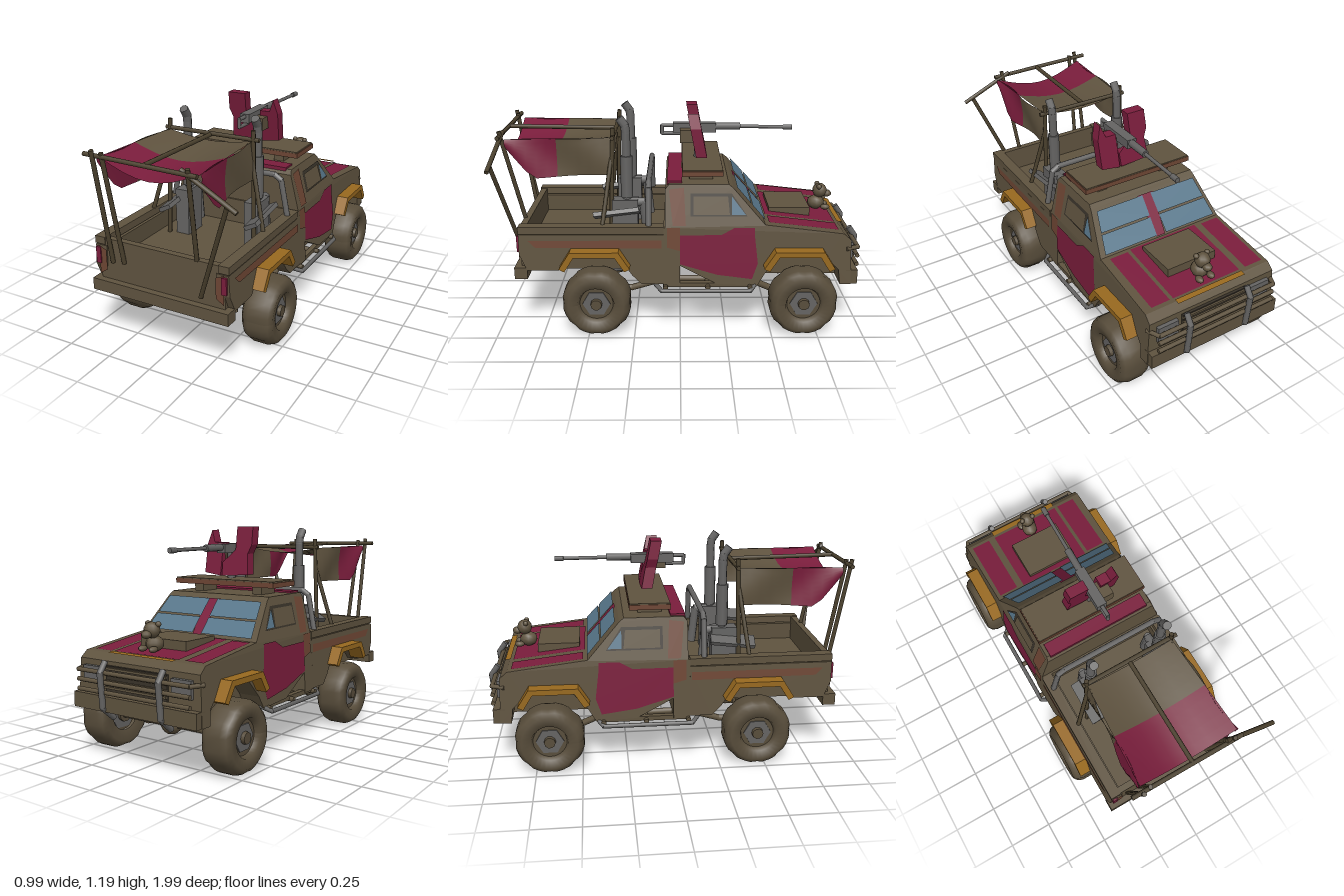
import * as THREE from 'three';

const mat = (name, color) => Object.assign(new THREE.MeshStandardMaterial({ color, side: THREE.DoubleSide }), { name });
const M = {
  olive: mat('olive drab', 0x5f533f), tyre: mat('dusty rubber', 0x584d3b), wood: mat('dark wood', 0x4b412e),
  crimson: mat('crimson', 0x7a1d3c), ochre: mat('ochre', 0x98691f), glass: mat('blue glass', 0x58778b),
  steel: mat('steel', 0x656463), rust: mat('rust', 0x6e4634), dark: mat('dark recess', 0x39332a),
};
const V = (p) => new THREE.Vector3(...p);

export function createModel() {
  const root = new THREE.Group();
  const add = (name, geo, m, parent = root) => {
    const mesh = new THREE.Mesh(geo, m);
    mesh.name = name;
    parent.add(mesh);
    return mesh;
  };
  const box = (name, m, x0, x1, y0, y1, z0, z1) => add(name,
    new THREE.BoxGeometry(x1 - x0, y1 - y0, z1 - z0).translate((x0 + x1) / 2, (y0 + y1) / 2, (z0 + z1) / 2), m);
  // chain of straight rods through points
  const rods = (name, m, r, ...pts) => {
    for (let i = 0; i + 1 < pts.length; i++) {
      const a = V(pts[i]), b = V(pts[i + 1]), d = b.clone().sub(a);
      const g = new THREE.CylinderGeometry(r, r, d.length() + r * 0.6, 8);
      g.applyQuaternion(new THREE.Quaternion().setFromUnitVectors(V([0, 1, 0]), d.normalize()));
      const c = a.add(b).multiplyScalar(0.5);
      add(name, g.translate(c.x, c.y, c.z), m);
    }
  };
  // flat painted panel from corner points
  const panel = (name, m, pts) => {
    const g = new THREE.BufferGeometry().setFromPoints(pts.map(V));
    const idx = [];
    for (let i = 1; i + 1 < pts.length; i++) idx.push(0, i, i + 1);
    g.setIndex(idx);
    g.computeVertexNormals();
    return add(name, g, m);
  };
  // side outline (z, y) extruded across x
  const slab = (pts, x0, x1) => new THREE.ExtrudeGeometry(new THREE.Shape(pts.map(p => new THREE.Vector2(...p))),
    { depth: x1 - x0, bevelEnabled: false }).rotateY(-Math.PI / 2).translate(x1, 0, 0);
  // body sides lean inwards
  const sideX = (y) => y < 0.6 ? 0.405 - (y - 0.27) * 0.06 : 0.385 - (y - 0.6) * 0.25;
  const lean = (g) => {
    const p = g.attributes.position;
    for (let i = 0; i < p.count; i++) p.setX(i, p.getX(i) * sideX(p.getY(i)) / 0.4);
    g.computeVertexNormals();
    return g;
  };
  const sidePanel = (name, m, pts, off = 0.004) => [1, -1].forEach(s =>
    panel(name, m, (s > 0 ? [...pts].reverse() : pts).map(([z, y]) => [s * (sideX(y) + off), y, z])));

  // --- body ---
  add('frontBody', lean(slab([[0.09, 0.6], [-0.45, 0.615], [-0.88, 0.565], [-0.92, 0.53], [-0.93, 0.28], [-0.87, 0.28],
    [-0.86, 0.36], [-0.79, 0.43], [-0.54, 0.43], [-0.46, 0.34], [-0.42, 0.27], [-0.2, 0.28], [0, 0.385], [0, 0.27], [0.09, 0.27]],
    -0.4, 0.4)), M.olive);
  add('cab', lean(slab([[0.08, 0.6], [0.08, 0.8], [0.06, 0.825], [-0.26, 0.825], [-0.285, 0.805], [-0.46, 0.61]], -0.4, 0.4)), M.olive);
  const bedSide = [[0.09, 0.56], [0.87, 0.56], [0.87, 0.45], [0.83, 0.36], [0.66, 0.36], [0.59, 0.43], [0.33, 0.43],
    [0.26, 0.33], [0.21, 0.28], [0.09, 0.28]];
  add('bedSide', lean(slab(bedSide, 0.33, 0.4)), M.olive);
  add('bedSide', lean(slab(bedSide, -0.4, -0.33)), M.olive);
  for (const s of [-1, 1]) {
    const r = box('bedRail', M.olive, -0.03, 0.03, 0.565, 0.605, 0.09, 0.87);
    r.position.x = s * 0.36;
  }
  box('bedFloor', M.olive, -0.36, 0.36, 0.42, 0.46, 0.08, 0.86);
  box('tailgate', M.olive, -0.365, 0.365, 0.37, 0.6, 0.83, 0.865);
  box('rearChassis', M.olive, -0.28, 0.28, 0.32, 0.43, 0.0, 0.84);
  box('frontChassis', M.olive, -0.28, 0.28, 0.29, 0.44, -0.9, -0.2);
  box('rearBumper', M.olive, -0.4, 0.4, 0.31, 0.375, 0.83, 0.9);
  box('frontBumper', M.olive, -0.4, 0.4, 0.28, 0.36, -0.965, -0.9);

  // --- side paint, windows, flares ---
  sidePanel('doorPaint', M.crimson, [[0, 0.56], [-0.4, 0.56], [-0.42, 0.4], [-0.39, 0.31], [-0.2, 0.335], [0, 0.395]]);
  sidePanel('doorPaintUpper', M.crimson, [[-0.29, 0.6], [-0.4, 0.6], [-0.4, 0.56], [-0.22, 0.56]]);
  sidePanel('doorRust', M.rust, [[0.07, 0.6], [0, 0.6], [0, 0.47], [0.07, 0.49]]);
  sidePanel('pillarRust', M.rust, [[0.06, 0.8], [-0.02, 0.81], [-0.03, 0.61], [0.04, 0.61]]);
  sidePanel('bedRust', M.rust, [[0.82, 0.53], [0.1, 0.53], [0.1, 0.485], [0.78, 0.49]]);
  sidePanel('windowFrame', M.dark, [[-0.055, 0.78], [-0.275, 0.78], [-0.36, 0.66], [-0.055, 0.66]]);
  sidePanel('sideWindow', M.olive, [[-0.07, 0.765], [-0.255, 0.765], [-0.265, 0.67], [-0.07, 0.67]], 0.008);
  sidePanel('ventWindow', M.glass, [[-0.275, 0.765], [-0.35, 0.67], [-0.275, 0.67]], 0.008);
  const flare = (z0, pts) => [1, -1].forEach(s => {
    const p = pts.map(([z, y]) => [z + z0, y]);
    add('wheelFlare', s > 0 ? slab(p, 0.37, 0.46) : slab(p, -0.46, -0.37), M.ochre);
  });
  const arch = [[0.19, 0.39], [0.13, 0.485], [-0.13, 0.485], [-0.19, 0.39], [-0.16, 0.375], [-0.11, 0.455], [0.11, 0.455], [0.16, 0.375]];
  flare(0.46, arch);
  flare(-0.64, arch);

  // --- windscreen and hood ---
  const ws = (x, t) => [x * (1 - 0.13 * t), 0.618 + t * 0.19, -0.463 + t * 0.17];
  panel('screenStrip', M.crimson, [ws(-0.025, 0.03), ws(0.03, 0.03), ws(0.06, 0.97), ws(-0.05, 0.97)]);
  for (const s of [-1, 1]) for (const [a, b] of [[0.05, 0.46], [0.5, 0.95]])
    panel('windscreen', M.glass, [ws(s * 0.03, a), ws(s * 0.355, a), ws(s * 0.355, b), ws(s * 0.03, b)])
      .position.set(0, 0.004, -0.005);
  const hoodY = (z) => 0.619 + (z + 0.45) * 0.116;
  const hoodPaint = (name, m, x0, x1, z0, z1) => panel(name, m,
    [[x0, hoodY(z0), z0], [x0, hoodY(z1), z1], [x1, hoodY(z1), z1], [x1, hoodY(z0), z0]]);
  hoodPaint('hoodPatch', M.crimson, -0.36, -0.25, -0.86, -0.48);
  hoodPaint('hoodPatch', M.crimson, 0.23, 0.34, -0.86, -0.48);
  hoodPaint('hoodCentre', M.crimson, -0.21, 0.21, -0.86, -0.47);
  hoodPaint('hoodStripe', M.ochre, -0.21, 0.21, -0.905, -0.875).position.y = 0.004;
  box('hoodScoop', M.olive, -0.15, 0.15, 0.58, 0.635, -0.73, -0.5);

  // --- nose ---
  box('grille', M.dark, -0.2, 0.2, 0.38, 0.51, -0.935, -0.92);
  for (let i = 0; i < 4; i++) box('grilleSlat', M.olive, -0.2, 0.2, 0.395 + i * 0.032, 0.407 + i * 0.032, -0.945, -0.93);
  for (const s of [-1, 1]) {
    box('headlight', M.steel, s * 0.29 - 0.06, s * 0.29 + 0.06, 0.41, 0.5, -0.942, -0.92);
    rods('bullBarUpright', M.steel, 0.016, [s * 0.19, 0.24, -0.9], [s * 0.19, 0.3, -0.97], [s * 0.19, 0.48, -0.985], [s * 0.19, 0.53, -0.95]);
    rods('bullBarEnd', M.olive, 0.012, [s * 0.39, 0.48, -0.9], [s * 0.36, 0.48, -0.965]);
    // tail lamps
    panel('tailRust', M.rust, [[s * 0.365, 0.56, 0.876], [s * 0.365, 0.4, 0.876], [s * 0.32, 0.43, 0.876], [s * 0.32, 0.54, 0.876]]);
    box('tailLamp', M.crimson, s * 0.367 - 0.014, s * 0.367 + 0.014, 0.46, 0.55, 0.86, 0.882);
  }
  for (const y of [0.38, 0.43, 0.48]) rods('bullBarRail', M.olive, 0.012, [-0.36, y, -0.965], [0.36, y, -0.965]);

  // --- carved beast on the hood ---
  const ball = (name, r, x, y, z, sx = 1, sy = 1, sz = 1) =>
    add(name, new THREE.SphereGeometry(r, 10, 7).scale(sx, sy, sz).translate(x, y, z), M.olive);
  ball('beastBody', 0.045, 0, 0.62, -0.79, 1, 0.9, 1.1);
  ball('beastHead', 0.042, 0, 0.69, -0.81);
  ball('beastMuzzle', 0.026, 0, 0.672, -0.85, 1, 0.8, 1.1);
  for (const s of [-1, 1]) {
    ball('beastEar', 0.015, s * 0.034, 0.72, -0.8);
    ball('beastPaw', 0.02, s * 0.035, 0.6, -0.84, 1, 0.8, 1.4);
  }

  // --- wheels: lathe with tread notched by rule ---
  const wheel = (x, z) => {
    const g = new THREE.Group();
    g.name = 'wheel';
    const prof = [[0.09, -0.07], [0.15, -0.088], [0.175, -0.07], [0.187, -0.04], [0.187, 0.04], [0.175, 0.07], [0.15, 0.088], [0.1, 0.08], [0.09, 0.05]];
    const tyre = new THREE.LatheGeometry(prof.map(p => new THREE.Vector2(...p)), 32);
    const p = tyre.attributes.position;
    for (let i = 0; i < p.count; i++) {
      const r = Math.hypot(p.getX(i), p.getZ(i));
      const k = r > 0.16 && Math.floor(i / prof.length) % 4 === 0 ? 0.965 : 1;
      p.setXYZ(i, p.getX(i) * k, p.getY(i), p.getZ(i) * k);
    }
    tyre.computeVertexNormals();
    add('tyre', tyre, M.tyre, g);
    add('rim', new THREE.CylinderGeometry(0.095, 0.095, 0.1, 16), M.tyre, g);
    add('rimFace', new THREE.CylinderGeometry(0.075, 0.09, 0.11, 6), M.steel, g);
    add('hub', new THREE.CylinderGeometry(0.03, 0.045, 0.15, 10), M.tyre, g);
    g.rotation.z = x > 0 ? -Math.PI / 2 : Math.PI / 2;
    g.position.set(x, 0.187, z);
    root.add(g);
  };

  // --- axles, underside and side steps ---
  for (const z of [0.455, -0.67]) {
    wheel(0.402, z);
    wheel(-0.402, z);
    rods('axle', M.olive, 0.024, [-0.36, 0.187, z], [0.36, 0.187, z]);
    ball('differential', 0.06, 0, 0.187, z);
    for (const s of [-1, 1]) {
      box('springMount', M.olive, s * 0.16 - 0.05, s * 0.16 + 0.05, 0.24, 0.32, z - 0.06, z + 0.06);
      rods('shockAbsorber', M.olive, 0.02, [s * 0.22, 0.15, z + 0.06], [s * 0.18, 0.32, z + 0.04]);
    }
  }
  rods('driveShaft', M.steel, 0.022, [0, 0.19, 0.45], [0, 0.26, 0], [0, 0.19, -0.67]);
  for (const z of [0.08, -0.15, -0.38]) rods('floorBar', M.olive, 0.014, [-0.42, 0.265, z], [0.42, 0.265, z]);
  for (const s of [-1, 1]) {
    rods('trailingArm', M.olive, 0.018, [s * 0.27, 0.19, 0.42], [s * 0.27, 0.2, 0.27], [s * 0.3, 0.27, 0.08],
      [s * 0.3, 0.265, -0.38], [s * 0.27, 0.2, -0.5], [s * 0.27, 0.19, -0.64]);
    rods('sideStep', M.steel, 0.012, [s * 0.38, 0.275, 0.14], [s * 0.43, 0.25, 0.1], [s * 0.43, 0.25, -0.38], [s * 0.38, 0.28, -0.42]);
    box('sill', M.olive, s * 0.385 - 0.015, s * 0.385 + 0.015, 0.26, 0.285, -0.41, 0.09);
  }

  // --- roll bar, exhaust stacks and scrap in the bed ---
  rods('rollBar', M.steel, 0.016, [-0.36, 0.6, 0.17], [-0.32, 0.8, 0.17], [-0.28, 0.825, 0.17], [0.28, 0.825, 0.17], [0.32, 0.8, 0.17], [0.36, 0.6, 0.17]);
  for (const x of [-0.185, 0.24]) {
    rods('stackMuffler', M.steel, 0.033, [x, 0.74, 0.29], [x, 0.95, 0.29]);
    rods('stackPipe', M.steel, 0.024, [x, 0.5, 0.29], [x, 1.09, 0.29], [x, 1.125, 0.295], [x, 1.16, 0.32]);
    rods('stackElbow', M.steel, 0.025, [x, 0.7, 0.29], [x, 0.7, 0.2], [x, 0.5, 0.18]);
    const plate = box('scrapPlate', M.steel, -0.04, 0.04, -0.012, 0.012, -0.13, 0.12);
    plate.position.set(x + Math.sign(x) * 0.05, 0.65, 0.35);
    plate.rotation.set(0.12, 0, 0.5);
    box('scrapBox', M.steel, x - 0.04, x + 0.04, 0.46, 0.72, 0.23, 0.37);
  }

  // --- roof platform ---
  box('roofMat', M.crimson, -0.31, 0.3, 0.815, 0.835, -0.01, 0.07);
  box('roofBoard', M.rust, -0.335, 0.33, 0.868, 0.895, -0.23, -0.01);
  box('roofBoardTop', M.olive, -0.33, 0.325, 0.895, 0.902, -0.228, -0.012);
  for (const x of [-0.2, 0.2]) box('boardBlock', M.olive, x - 0.03, x + 0.03, 0.82, 0.87, -0.18, -0.05);

  // --- gun and its shields ---
  const shield = (name, pts) => {
    const g = new THREE.ExtrudeGeometry(new THREE.Shape(pts.map(p => new THREE.Vector2(...p))), { depth: 0.06, bevelEnabled: false });
    const p = g.attributes.position;
    for (let i = 0; i < p.count; i++) p.setZ(i, p.getZ(i) - 0.15 + (p.getY(i) - 0.92) * 0.2);
    g.computeVertexNormals();
    add(name, g, M.crimson);
  };
  shield('shieldTall', [[-0.115, 0.925], [0.06, 0.915], [0.065, 0.99], [-0.015, 1.06], [-0.01, 1.19], [-0.115, 1.19], [-0.12, 1.09], [-0.1, 1.04]]);
  shield('shieldPointed', [[0.07, 0.915], [0.18, 0.93], [0.185, 1.09], [0.163, 1.17], [0.135, 1.1], [0.075, 1.1]]);
  rods('gunPost', M.steel, 0.022, [0.03, 0.89, -0.1], [0.03, 1.06, -0.1]);
  box('gunReceiver', M.steel, 0.0, 0.055, 1.045, 1.095, -0.2, 0.04);
  rods('gunGrip', M.steel, 0.011, [0.028, 1.08, 0.02], [0.028, 1.08, 0.1], [0.028, 1.035, 0.1], [0.028, 1.035, 0.0]);
  rods('gunJacket', M.steel, 0.02, [0.03, 1.075, -0.2], [0.032, 1.075, -0.33]);
  rods('gunBarrel', M.steel, 0.01, [0.032, 1.075, -0.3], [0.038, 1.072, -0.6]);
  rods('gunMuzzle', M.steel, 0.015, [0.038, 1.072, -0.58], [0.039, 1.072, -0.62]);
  box('ammoBox', M.olive, 0.06, 0.12, 1.0, 1.07, -0.1, 0.0);

  // --- canopy frame ---
  const pole = (...pts) => rods('canopyPole', M.wood, 0.012, ...pts);
  pole([-0.34, 1.075, 0.96], [0.285, 1.065, 0.965]);
  pole([0.2, 1.08, 0.955], [0.49, 0.94, 0.98]);
  pole([-0.27, 1.065, 0.36], [0.28, 1.065, 0.36]);
  pole([0, 1.06, 0.36], [0, 1.07, 0.96]);
  pole([-0.285, 0.48, 0.87], [-0.285, 1.1, 0.975]);
  pole([-0.215, 0.49, 0.87], [-0.24, 1.09, 0.96]);
  pole([0.21, 0.6, 0.86], [0.24, 1.09, 0.965]);
  pole([0.24, 0.42, 0.88], [0.44, 0.95, 0.975]);
  for (const s of [-1, 1]) {
    pole([s * 0.265, 0.46, 0.38], [s * 0.25, 1.11, 0.36]);
    pole([s * 0.34, 0.6, 0.42], [s * 0.25, 0.95, 0.37]);
  }

  // --- canopy cloth: sagging top and hanging sides ---
  const cloth = (name, m, z0, z1, fn) => {
    const g = new THREE.PlaneGeometry(1, 1, 8, 5), p = g.attributes.position;
    for (let i = 0; i < p.count; i++) {
      const u = p.getX(i) + 0.5, z = z0 + (p.getY(i) + 0.5) * (z1 - z0);
      p.setXYZ(i, ...fn(u, z), z);
    }
    g.computeVertexNormals();
    add(name, g, m);
  };
  const top = (u, z) => {
    const w = Math.sin(Math.PI * u), t = (z - 0.37) / 0.56;
    return [(u - 0.5) * (0.5 + 0.06 * t), 1.06 - w * (0.03 + 0.05 * t)];
  };
  const drape = (s) => (u, z) => {
    const t = (z - 0.37) / 0.56;
    const drop = t < 0.75 ? 0.2 + 0.02 * t : 0.215 - (t - 0.75) * 0.68;
    return [s * (0.25 + 0.03 * t + 0.012 * Math.sin(u * 3 + z * 14)), 1.06 - u * drop];
  };
  for (const [m, a, b] of [[M.olive, 0.37, 0.66], [M.crimson, 0.66, 0.93]]) {
    cloth('canopyTop', m, a, b, top);
    cloth('canopyDrape', m, a, b, drape(1));
    cloth('canopyDrape', m, a, b, drape(-1));
  }
  return root;
}
